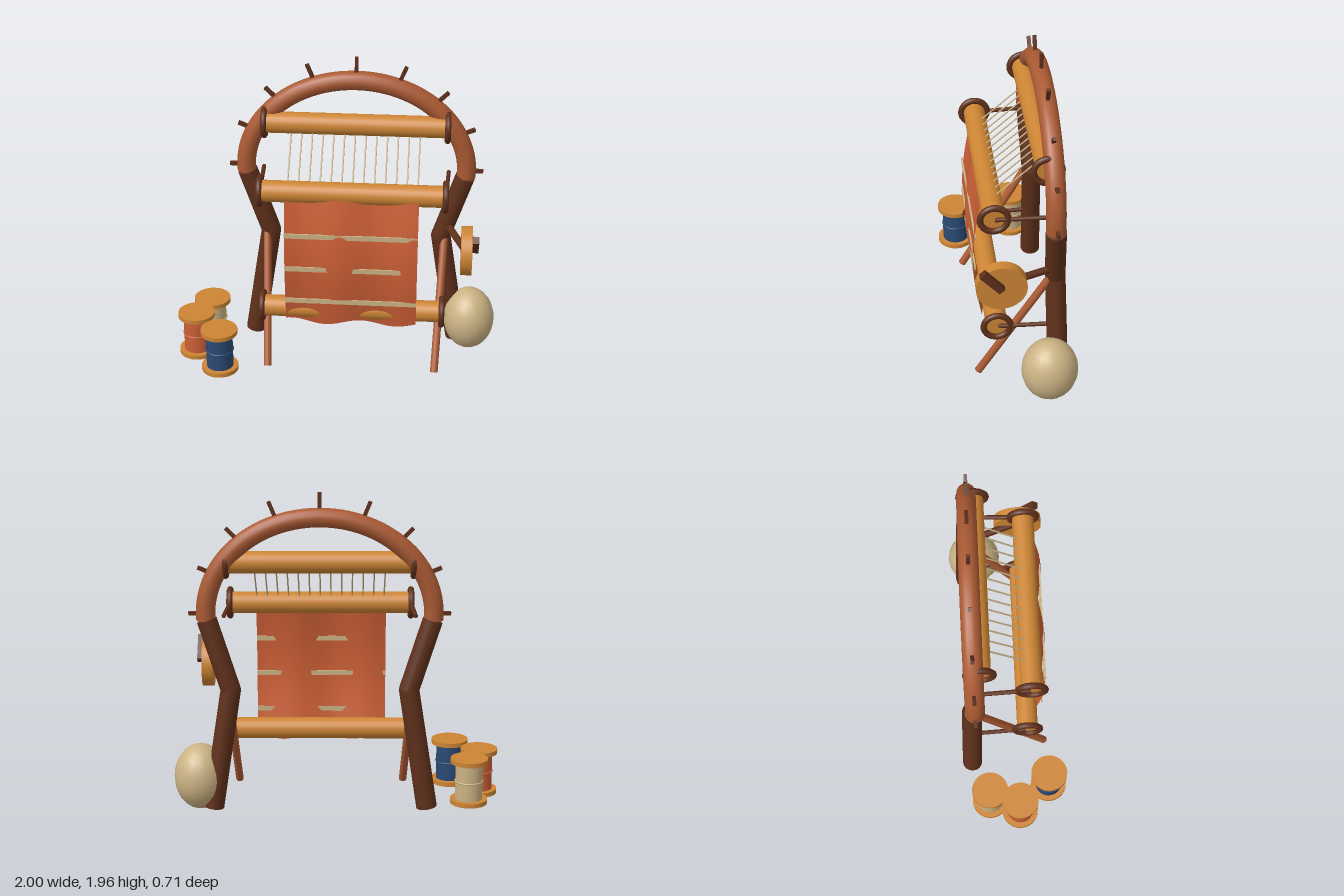
import * as THREE from 'three';

const mat = (name, color, side = THREE.FrontSide) => {
  const m = new THREE.MeshStandardMaterial({ color, side });
  m.name = name;
  return m;
};

export function createModel() {
  const root = new THREE.Group();
  root.name = 'loom';
  const darkWood = mat('darkWood', 0x5f301b);
  const redWood = mat('redWood', 0xaa5a33);
  const goldWood = mat('goldWood', 0xcd8534);
  const cloth = mat('clothOrange', 0xcc5f36, THREE.DoubleSide);
  const wool = mat('wool', 0xcbb384);
  const blue = mat('blueYarn', 0x2a4a74);
  const V = (x, y, z) => new THREE.Vector3(x, y, z);
  const CX = 0.105; // middle of the frame

  const add = (name, geo, material, pos, parent = root) => {
    const m = new THREE.Mesh(geo, material);
    m.name = name;
    if (pos) m.position.copy(pos);
    parent.add(m);
    return m;
  };
  // Round bar between two points
  const rod = (name, a, b, r, material, r2 = r, sides = 16) => {
    const d = b.clone().sub(a);
    const m = add(name, new THREE.CylinderGeometry(r2, r, d.length(), sides), material,
      a.clone().add(b).multiplyScalar(0.5));
    m.quaternion.setFromUnitVectors(V(0, 1, 0), d.normalize());
    return m;
  };

  // Bent arch
  const archPoints = [];
  for (let i = 0; i <= 24; i++) {
    const t = -0.06 + (Math.PI + 0.12) * i / 24;
    archPoints.push(V(CX + 0.678 * Math.cos(t), 1.23 + 0.58 * Math.sin(t), -0.213));
  }
  add('arch', new THREE.TubeGeometry(new THREE.CatmullRomCurve3(archPoints), 64, 0.058, 16), redWood);

  // Pegs fanning out from the arch
  for (let i = 0; i <= 8; i++) {
    const t = Math.PI * i / 8, c = Math.cos(t), s = Math.sin(t);
    const peg = add('peg', new THREE.BoxGeometry(0.13, 0.022, 0.022), darkWood,
      V(CX + 0.78 * c - 0.065 * c, 1.235 + 0.725 * s - 0.065 * s, -0.213));
    peg.rotation.z = t;
  }

  // Bent legs, struts and roller arms, mirrored
  for (const s of [-1, 1]) {
    const top = V(CX + s * 0.672, 1.195, -0.215);
    const knee = V(CX + s * 0.535, 0.77, -0.237);
    const foot = V(CX + s * 0.65, 0.03, -0.252);
    rod('upperLeg', knee, top, 0.061, darkWood);
    rod('lowerLeg', foot, knee, 0.063, darkWood, 0.061);
    add('knee', new THREE.SphereGeometry(0.061, 16, 12), darkWood, knee);
    rod('strut', V(CX + s * 0.522, 0.04, 0.222), V(CX + s * 0.557, 0.78, -0.21), 0.024, redWood);
    for (const [y, z] of [[1.22, 0.12], [0.418, 0.1]]) {
      rod('rollerArm', V(CX + s * 0.557, y, z), V(CX + s * 0.57, y, -0.22), 0.013, darkWood, 0.013, 10);
    }
  }

  // Rollers with end rings
  for (const [y, z] of [[1.537, -0.178], [1.222, 0.125], [0.417, 0.11]]) {
    rod('roller', V(CX - 0.55, y, z), V(CX + 0.55, y, z), 0.066, goldWood, 0.066, 24);
    for (const s of [-1, 1]) {
      add('rollerRing', new THREE.TorusGeometry(0.081, 0.019, 10, 28), darkWood,
        V(CX + s * 0.556, y, z)).rotation.y = Math.PI / 2;
    }
  }

  // Warp threads
  for (let i = 0; i < 13; i++) {
    const x = -0.285 + 0.065 * i;
    rod('warpThread', V(x, 1.515, -0.175), V(x, 1.27, 0.1), 0.005, wool, 0.005, 6);
  }

  // Hanging cloth: bulges forward and ripples across its width
  const AMP = 0.013;
  const bulge = y => 0.176 + 0.045 * Math.sin(Math.PI * (1.2 - y) / 0.8);
  const clothGeo = new THREE.PlaneGeometry(0.805, 1, 48, 32);
  const p = clothGeo.attributes.position;
  for (let i = 0; i < p.count; i++) {
    const x = p.getX(i) + 0.1025;
    const v = 0.5 - p.getY(i);
    const hem = 0.347 - 0.02 * Math.cos(2 * Math.PI * (x + 0.08) / 0.43);
    const y = 1.212 + (hem - 1.212) * v;
    p.setXYZ(i, x, y, bulge(y) - AMP * Math.cos(2 * Math.PI * (x + 0.19) / 0.45));
  }
  clothGeo.computeVertexNormals();
  add('cloth', clothGeo, cloth);

  // Straight weft strips woven through the ripples
  for (const [y, f] of [[0.97, 0.95], [0.745, 0.44], [0.515, 1.15]]) {
    add('weftStrip', new THREE.BoxGeometry(0.805, 0.03, 0.009), wool,
      V(0.1025, y, bulge(y) + f * AMP - 0.0045));
  }

  // Side wheel with axle and handle
  rod('wheelAxle', V(0.68, 0.852, -0.22), V(0.79, 0.852, 0.1), 0.022, darkWood);
  rod('wheel', V(0.765, 0.85, 0.1), V(0.832, 0.85, 0.1), 0.15, goldWood, 0.15, 32);
  const handle = add('wheelHandle', new THREE.BoxGeometry(0.04, 0.17, 0.045), darkWood, V(0.85, 0.922, 0.158));
  handle.rotation.x = 0.73;

  // Ball of wool
  add('woolBall', new THREE.SphereGeometry(1, 20, 14), wool, V(0.837, 0.205, -0.187)).scale.set(0.161, 0.204, 0.171);

  // Yarn spools
  for (const [x, z, yarn] of [[-0.885, 0.045, cloth], [-0.715, 0.237, blue], [-0.81, -0.145, wool]]) {
    const spool = new THREE.Group();
    spool.name = 'spool';
    spool.position.set(x, 0, z);
    root.add(spool);
    add('yarn', new THREE.CylinderGeometry(0.084, 0.084, 0.24, 24), yarn, V(0, 0.163, 0), spool);
    add('yarnRing', new THREE.TorusGeometry(0.084, 0.006, 8, 24), yarn, V(0, 0.16, 0), spool).rotation.x = Math.PI / 2;
    for (const y of [0.032, 0.292]) {
      add('flange', new THREE.CylinderGeometry(0.115, 0.115, 0.028, 28), goldWood, V(0, y, 0), spool);
    }
  }
  return root;
}
